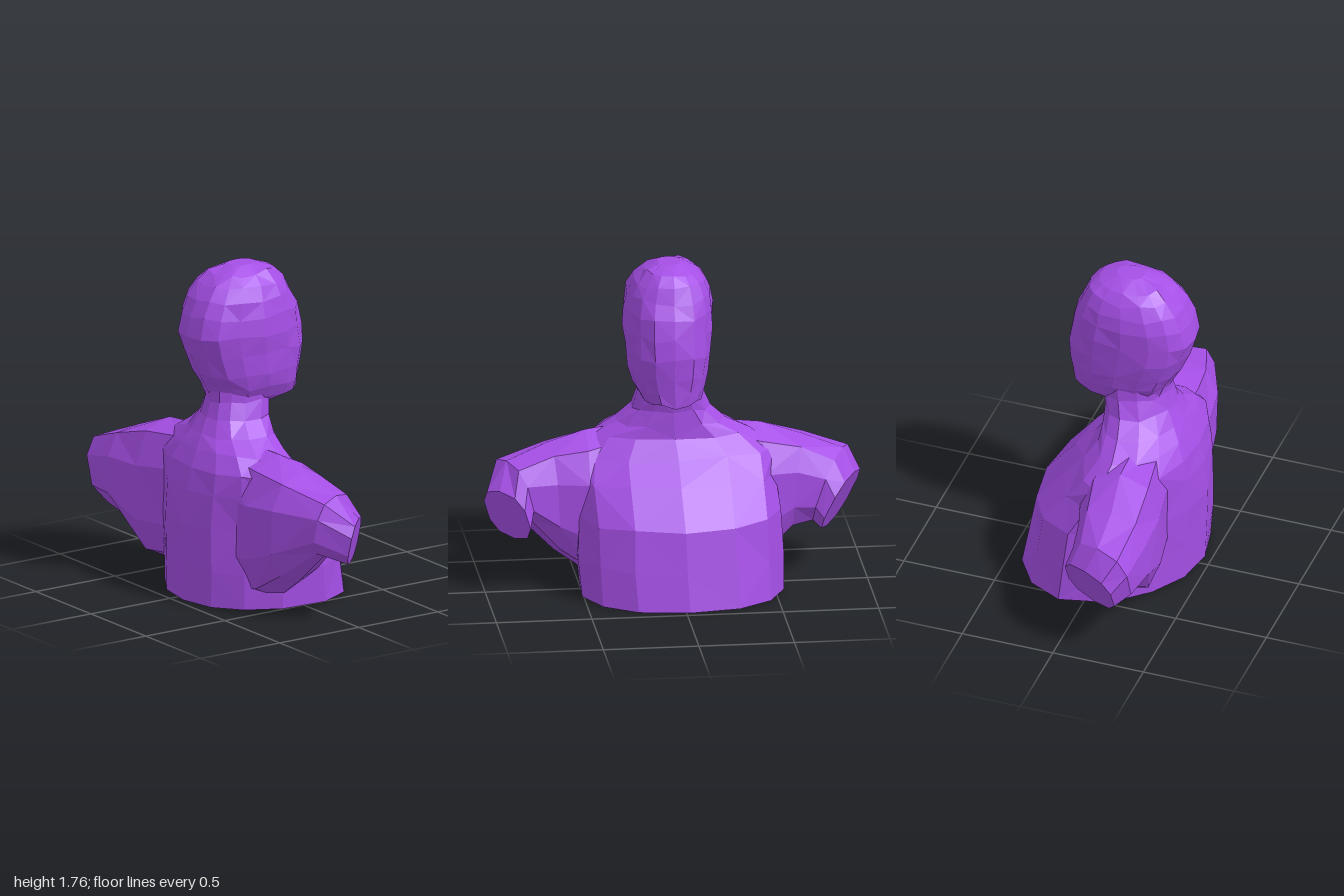
import * as THREE from 'three';

// small seeded generator for hand-cut facet variation
function seeded(seed) {
  let s = seed;
  return () => {
    s = (s * 16807) % 2147483647;
    return s / 2147483647 - 0.5;
  };
}

const purple = new THREE.MeshStandardMaterial({ color: 0xa54fe6, flatShading: true });

// rounded-square point on the unit outline
function outline(angle, n) {
  const c = Math.cos(angle), s = Math.sin(angle);
  return [Math.sign(c) * Math.abs(c) ** (2 / n), Math.sign(s) * Math.abs(s) ** (2 / n)];
}

// skin a list of equal-length rings, closing both ends with fans
function loft(name, rings) {
  const tris = [];
  const n = rings[0].length;
  for (let i = 0; i < rings.length - 1; i++) {
    const a = rings[i], b = rings[i + 1];
    for (let j = 0; j < n; j++) {
      const k = (j + 1) % n;
      if ((i + j) % 2) tris.push([a[j], b[j], b[k]], [a[j], b[k], a[k]]);
      else tris.push([a[j], b[j], a[k]], [a[k], b[j], b[k]]);
    }
  }
  const first = rings[0], last = rings[rings.length - 1];
  for (let j = 1; j < n - 1; j++) {
    tris.push([first[0], first[j], first[j + 1]], [last[0], last[j + 1], last[j]]);
  }
  // turn every face outward using the signed volume
  let volume = 0;
  for (const [a, b, c] of tris) volume += a.dot(b.clone().cross(c));
  const pts = tris.flatMap(([a, b, c]) => (volume < 0 ? [a, c, b] : [a, b, c]));
  const geo = new THREE.BufferGeometry().setFromPoints(pts);
  geo.computeVertexNormals();
  const mesh = new THREE.Mesh(geo, purple);
  mesh.name = name;
  return mesh;
}

// horizontal rings from rows of [y, back x, front x, +z side, -z side];
// taperFront and taperBack narrow the ring's ends, backShift moves its back towards +z
function stack(name, rows, { sides, power, taperFront, taperBack, backShift, jitter, seed }) {
  const rnd = seeded(seed);
  const rings = rows.map(([y, xb, xf, zl, zr], i) => {
    const end = i === 0 || i === rows.length - 1;
    const halfZ = (zl - zr) / 2;
    return Array.from({ length: sides }, (_, j) => {
      const [c, s] = outline((j / sides) * Math.PI * 2, power);
      const side = s * (1 - Math.abs(c) * (c > 0 ? taperFront : taperBack));
      const shift = backShift * Math.max(0, -c);
      const k = 1 + (c * c > 0.95 || end ? 0 : rnd() * jitter);
      return new THREE.Vector3(
        (xb + xf) / 2 + (c * k * (xf - xb)) / 2,
        y + (end ? 0 : rnd() * jitter * 0.5),
        (zl + zr) / 2 + (side * k + shift) * halfZ
      );
    });
  });
  return loft(name, rings);
}

// upright rings along z from rows of [z, x, y, half width, half height, slant by x, slant by y]
function arm(name, rows, seed) {
  const rnd = seeded(seed);
  const sides = 10;
  const rings = rows.map(([z, x, y, rx, ry, sx, sy], i) =>
    Array.from({ length: sides }, (_, j) => {
      const [c, s] = outline((j / sides) * Math.PI * 2 + Math.PI / 2, 2.5);
      const k = i === rows.length - 1 ? 1 : 1 + rnd() * 0.06;
      const dx = c * rx * k, dy = s * ry * k;
      return new THREE.Vector3(x + dx, y + dy, z + sx * dx + sy * dy);
    })
  );
  return loft(name, rings);
}

export function createModel() {
  const group = new THREE.Group();
  group.name = 'bust';

  // chest, back and neck, narrowing towards the spine
  group.add(stack('torsoAndNeck', [
    [0, -0.46, 0.465, 0.52, -0.56],
    [0.2, -0.465, 0.43, 0.54, -0.56],
    [0.42, -0.47, 0.39, 0.53, -0.54],
    [0.6, -0.45, 0.23, 0.54, -0.54],
    [0.72, -0.425, 0.12, 0.53, -0.53],
    [0.81, -0.385, 0.05, 0.43, -0.41],
    [0.88, -0.345, 0.05, 0.31, -0.28],
    [0.96, -0.305, 0.05, 0.23, -0.19],
    [1.05, -0.28, 0.07, 0.2, -0.15],
    [1.18, -0.28, 0.08, 0.2, -0.15],
  ], { sides: 14, power: 2.35, taperFront: 0, taperBack: 0.26, backShift: 0.16, jitter: 0.04, seed: 11 }));

  // head, from jaw line to crown
  group.add(stack('head', [
    [1.01, -0.2, 0.08, 0.14, -0.1],
    [1.055, -0.26, 0.24, 0.19, -0.13],
    [1.12, -0.29, 0.245, 0.225, -0.155],
    [1.2, -0.34, 0.25, 0.25, -0.175],
    [1.31, -0.39, 0.26, 0.26, -0.19],
    [1.42, -0.42, 0.25, 0.27, -0.2],
    [1.52, -0.395, 0.225, 0.265, -0.2],
    [1.6, -0.355, 0.19, 0.25, -0.185],
    [1.67, -0.3, 0.155, 0.215, -0.16],
    [1.725, -0.24, 0.1, 0.165, -0.115],
    [1.758, -0.14, 0.01, 0.09, -0.03],
  ], { sides: 16, power: 2.45, taperFront: 0.03, taperBack: 0, backShift: 0, jitter: 0.05, seed: 29 }));

  // cut-off upper arms rising from the flanks, each ending in a slanted flat stump
  group.add(arm('leftArm', [
    [0.2, -0.18, 0.45, 0.18, 0.41, 0, 0],
    [0.46, -0.13, 0.44, 0.23, 0.38, 0, 0],
    [0.64, -0.12, 0.48, 0.2, 0.3, -0.1, 0.05],
    [0.84, -0.06, 0.53, 0.155, 0.165, -0.45, 0.25],
    [0.89, 0.05, 0.435, 0.1, 0.13, -1, 0.3],
  ], 5));
  group.add(arm('rightArm', [
    [-0.2, -0.18, 0.47, 0.18, 0.39, 0, 0],
    [-0.46, -0.18, 0.45, 0.23, 0.37, 0, 0],
    [-0.66, -0.21, 0.49, 0.21, 0.25, 0.15, -0.1],
    [-0.83, -0.21, 0.46, 0.18, 0.19, 0.4, -0.35],
    [-0.88, -0.16, 0.385, 0.16, 0.145, 0.5, -0.5],
  ], 17));

  return group;
}
